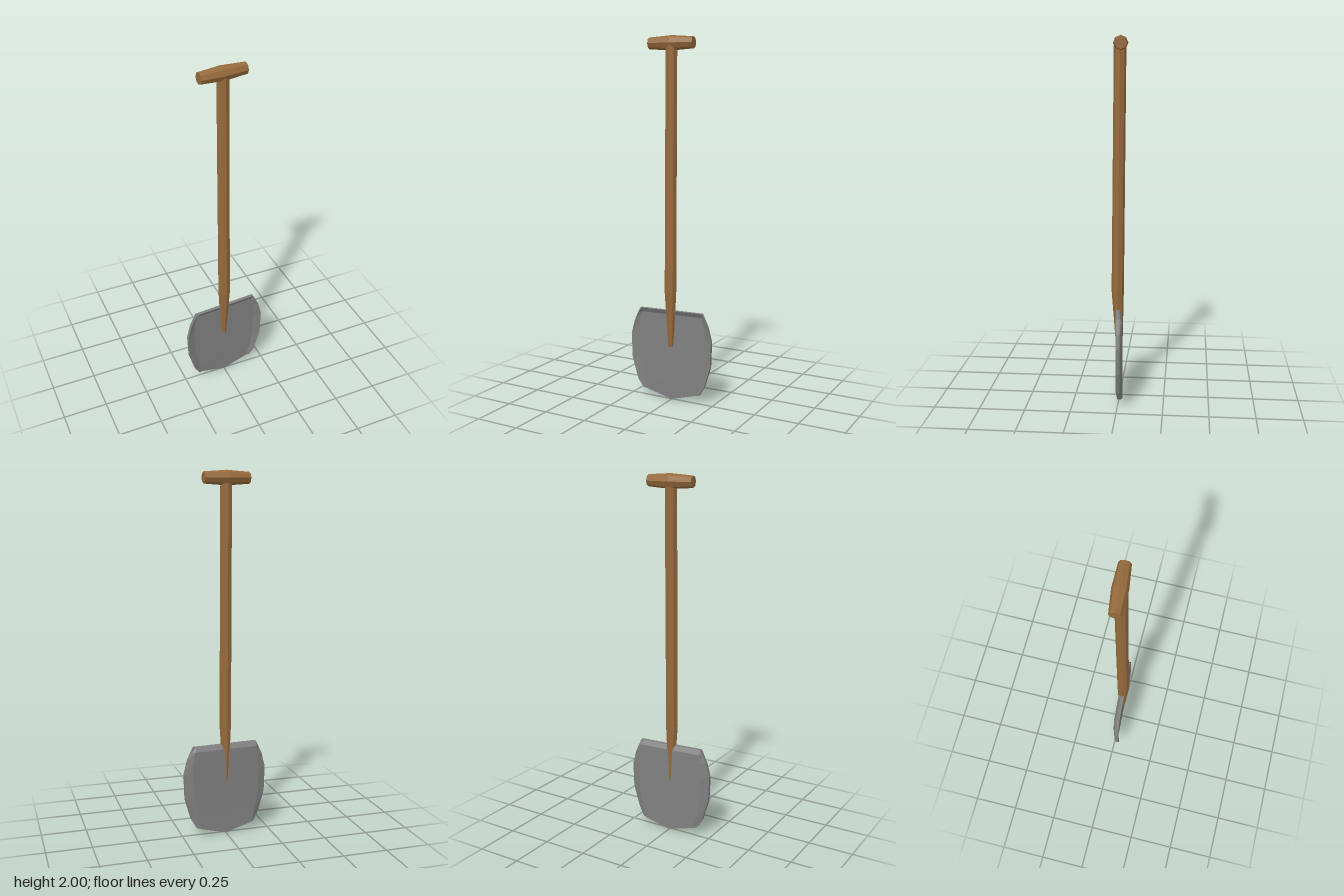
import * as THREE from 'three';

// Join equal-length rings of [x, y, z] points into a capped solid.
// Rings run counter-clockwise when seen from the end of the loft.
function loft(rings) {
  const n = rings[0].length;
  const index = [];
  for (let r = 0; r < rings.length - 1; r++) {
    for (let i = 0; i < n; i++) {
      const a = r * n + i, b = r * n + (i + 1) % n;
      index.push(a, b, b + n, a, b + n, a + n);
    }
  }
  const last = (rings.length - 1) * n;
  // caps pair opposite points, so dished outlines stay tidy
  for (let i = 0, j = n - 1; i + 1 < j; i++, j--) {
    index.push(i, j, i + 1);
    index.push(last + i, last + i + 1, last + j);
    if (i + 1 < j - 1) {
      index.push(i + 1, j, j - 1);
      index.push(last + i + 1, last + j - 1, last + j);
    }
  }
  const geo = new THREE.BufferGeometry();
  geo.setAttribute('position', new THREE.Float32BufferAttribute(rings.flat(2), 3));
  geo.setIndex(index);
  const flat = geo.toNonIndexed();
  flat.computeVertexNormals();
  return flat;
}

// Eight-sided ring around the y axis, starting at the front
function octagon(y, z, rx, rz) {
  return Array.from({ length: 8 }, (_, i) => {
    const a = i * Math.PI / 4;
    return [rx * Math.sin(a), y, z + rz * Math.cos(a)];
  });
}

export function createModel() {
  const wood = new THREE.MeshStandardMaterial({ color: 0x966a3c });
  const metal = new THREE.MeshStandardMaterial({ color: 0x808080 });
  wood.flatShading = metal.flatShading = true;

  const model = new THREE.Group();
  model.name = 'shovel';
  const add = (name, geo, mat) => {
    const mesh = new THREE.Mesh(geo, mat);
    mesh.name = name;
    model.add(mesh);
    return mesh;
  };

  // Shaft, leaning slightly back and tapering into the blade
  const shaft = add('shaft', loft([
    octagon(0.31, 0.003, 0.015, 0.019),
    octagon(0.62, 0.011, 0.034, 0.034),
    octagon(1.95, -0.002, 0.033, 0.033),
  ]), wood);
  shaft.position.x = -0.004;

  // Cross grip, thickest in the middle
  const grip = add('grip', loft([
    octagon(-0.128, 0, 0.031, 0.031),
    octagon(0, 0, 0.04, 0.04),
    octagon(0.128, 0, 0.031, 0.031),
  ]), wood);
  grip.rotation.z = -Math.PI / 2;
  grip.position.set(-0.005, 1.96, -0.005);

  // Dished blade: rows of [centre y, edge y, inner half width, half width, centre z]
  const rimZ = 0.02, thick = 0.02;
  const rows = [
    [0.003, 0.05, 0.15, 0.17, 0.005],
    [0.1, 0.1, 0.168, 0.2, 0.006],
    [0.22, 0.22, 0.19, 0.235, 0.006],
    [0.36, 0.36, 0.197, 0.24, 0.006],
    [0.44, 0.44, 0.189, 0.22, 0.006],
    [0.49, 0.49, 0.18, 0.197, 0.006],
    [0.515, 0.515, 0.17, 0.185, rimZ],
  ];
  const rings = rows.map(([yc, ye, inner, outer, zc], r) => {
    const edgeZ = r === 0 ? 0.012 : rimZ;
    const front = [-outer, -inner, 0, inner, outer].map((x) => {
      const y = yc + (ye - yc) * Math.abs(x) / outer;
      return [x, y, Math.abs(x) === outer ? edgeZ : zc];
    });
    const back = front.map(([x, y, z]) => [x, y, z - thick]).reverse();
    return [...front, ...back];
  });
  add('blade', loft(rings), metal);

  // The tool stands turned a little to one side
  model.rotation.y = 0.075;
  const root = new THREE.Group();
  root.name = 'model';
  root.add(model);
  return root;
}
